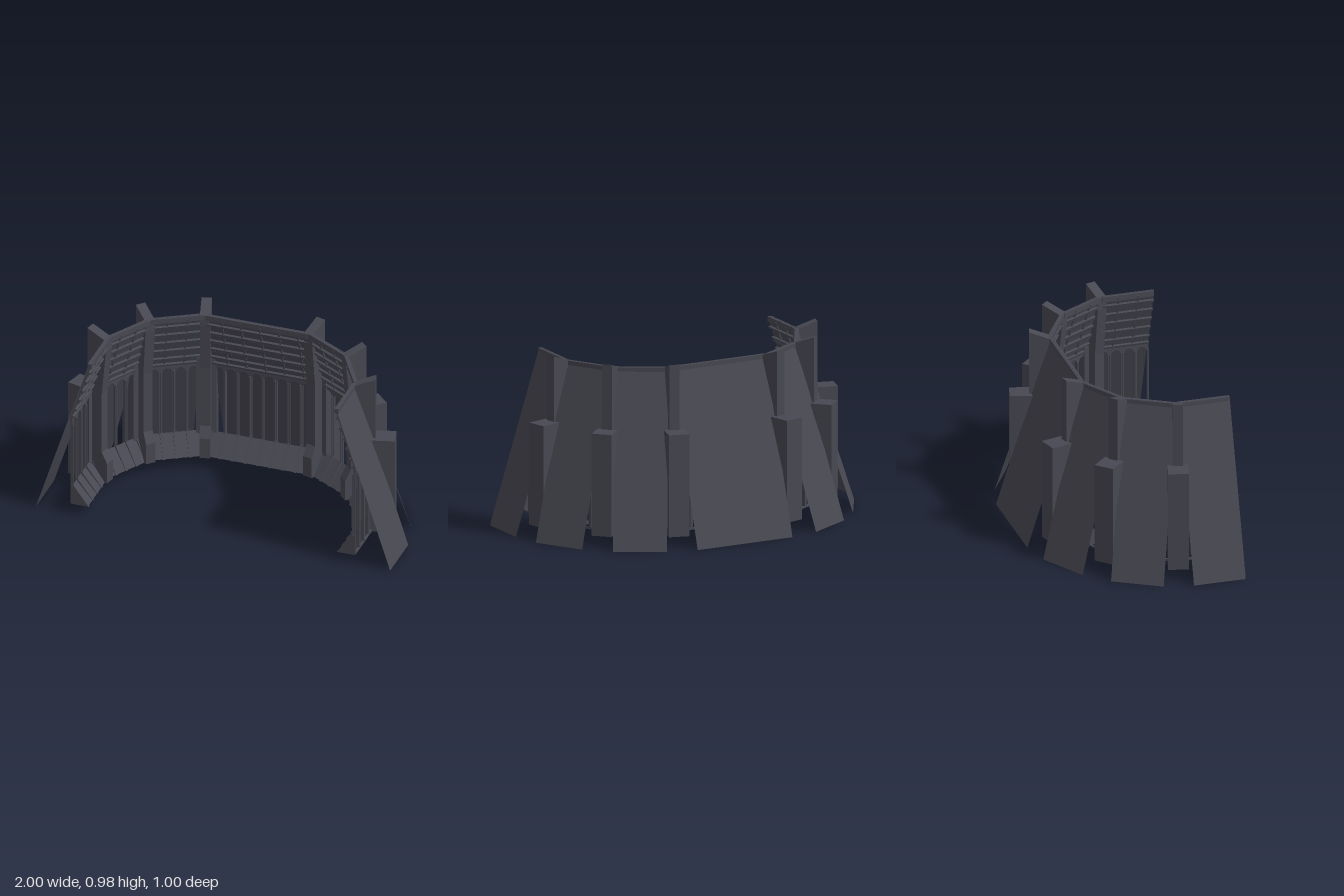
import * as THREE from 'three';

const TOP = 0.94, RUN = 0.3;              // height and outward run of the sloping roof
const TILT = Math.atan(RUN / TOP);
const PITCH = 0.0719;                     // spacing of the arches

export function createModel() {
  const model = new THREE.Group();
  model.name = 'apse';
  const stone = new THREE.MeshStandardMaterial({ color: 0x484852 });
  stone.name = 'dark slate';
  const slate = stone.clone();
  slate.name = 'dark slate sheet';
  slate.side = THREE.DoubleSide;

  const add = (parent, name, geo, x = 0, y = 0, z = 0, tilt = 0, mat = stone) => {
    const m = new THREE.Mesh(geo, mat);
    m.name = name;
    m.position.set(x, y, z);
    m.rotation.x = tilt;
    parent.add(m);
    return m;
  };
  const box = (parent, name, w, h, d, x, y, z, tilt = 0) =>
    add(parent, name, new THREE.BoxGeometry(w, h, d), x, y, z, tilt);
  // radial profile of [outward distance, height], extruded across its width
  const radial = (parent, name, pts, width, x = 0) => {
    const g = new THREE.ExtrudeGeometry(
      new THREE.Shape(pts.map(([r, y]) => new THREE.Vector2(r, y))),
      { depth: width, bevelEnabled: false });
    g.translate(0, 0, -width / 2);
    g.rotateY(Math.PI / 2);               // outward becomes local -z
    return add(parent, name, g, x);
  };
  // local frame: x along the wall, +z towards the inside
  const frame = (name, x, z, degrees) => {
    const g = new THREE.Group();
    g.name = name;
    g.position.set(x, 0, z);
    g.rotation.y = -THREE.MathUtils.degToRad(degrees);
    model.add(g);
    return g;
  };
  const slopeZ = y => -RUN * (1 - y / TOP);

  function bay(x, z, degrees, arches) {
    const g = frame('bay', x, z, degrees);
    const w = arches * PITCH;

    // sloping outer roof
    add(g, 'roofSheet', new THREE.PlaneGeometry(w, Math.hypot(RUN, TOP)),
      0, TOP / 2, -RUN / 2, TILT, slate);

    // open arcade
    const wall = new THREE.Shape([[-w / 2, 0.06], [w / 2, 0.06], [w / 2, 0.6], [-w / 2, 0.6]]
      .map(p => new THREE.Vector2(...p)));
    for (let i = 0; i < arches; i++) {
      const cx = (i + 0.5 - arches / 2) * PITCH, r = 0.028;
      const hole = new THREE.Path();
      hole.moveTo(cx - r, 0.07);
      hole.lineTo(cx + r, 0.07);
      hole.lineTo(cx + r, 0.54);
      hole.absarc(cx, 0.54, r, 0, Math.PI, false);
      hole.lineTo(cx - r, 0.07);
      wall.holes.push(hole);
    }
    add(g, 'arcade', new THREE.ExtrudeGeometry(wall,
      { depth: 0.012, bevelEnabled: false, curveSegments: 10 }), 0, 0, -0.105);

    // sloping sill with ribs, and slender shafts between the arches
    add(g, 'sill', new THREE.PlaneGeometry(w, Math.hypot(0.09, 0.11)),
      0, 0.115, -0.05, -Math.atan(0.09 / 0.11));
    for (let i = 0; i <= arches; i++) {
      const cx = (i - arches / 2) * PITCH * 0.985;
      radial(g, 'sillRib', [[0, 0.06], [0.1, 0.06], [0.1, 0.18], [0.09, 0.18]], 0.014, cx);
      add(g, 'shaft', new THREE.CylinderGeometry(0.005, 0.005, 0.38, 6), cx, 0.36, -0.089);
    }

    // sloping vault above the arcade, with beams
    const y0 = 0.58, dy = TOP - y0;
    const run = Math.hypot(dy, slopeZ(TOP) - slopeZ(y0));
    const mid = (y0 + TOP) / 2;
    box(g, 'vaultPanel', w, run, 0.008, 0, mid - 0.006, slopeZ(mid) + 0.008, TILT);
    for (const y of [0.595, 0.64, 0.7, 0.76, 0.82, 0.88])
      box(g, 'vaultBeam', w, 0.012, 0.016, 0, y, slopeZ(y) + 0.02, TILT);
    for (const y of [0.687, 0.747, 0.807])
      for (let i = 0; i < arches * 4; i++)
        box(g, 'dentil', 0.008, 0.012, 0.012, (i + 0.5 - arches * 2) * PITCH / 4, y, slopeZ(y) + 0.018, TILT);
    for (let i = 1; i < arches; i += 1.5)
      box(g, 'vaultRib', 0.01, run - 0.03, 0.012, (i - arches / 2 + 0.25) * PITCH, mid, slopeZ(mid) + 0.016, TILT);
    box(g, 'crownBeam', w, 0.03, 0.022, 0, TOP - 0.016, 0.003);
  }

  function buttress(x, z, degrees) {
    const g = frame('buttress', x, z, degrees);
    // tall pier with a foot and a rising cap
    radial(g, 'pier', [[-0.022, 0.06], [0.105, 0.06], [0.105, 0.978], [0, 0.94], [-0.015, 0.935],
      [-0.015, 0.87], [0.012, 0.6], [0.012, 0.24], [-0.022, 0.18]], 0.055);
    // lower outer block
    box(g, 'outerBlock', 0.11, 0.56, 0.135, 0, 0.34, -0.1425);
  }

  bay(0, -0.2, 0, 8);
  for (const s of [-1, 1]) {
    bay(s * 0.4265, -0.129, s * 30, 4);
    bay(s * 0.634, 0.0785, s * 60, 4);
    bay(s * 0.7, 0.355, s * 90, 4);
    buttress(s * 0.295, -0.205, s * 15);
    buttress(s * 0.558, -0.053, s * 45);
    buttress(s * 0.705, 0.207, s * 75);
  }
  return model;
}
